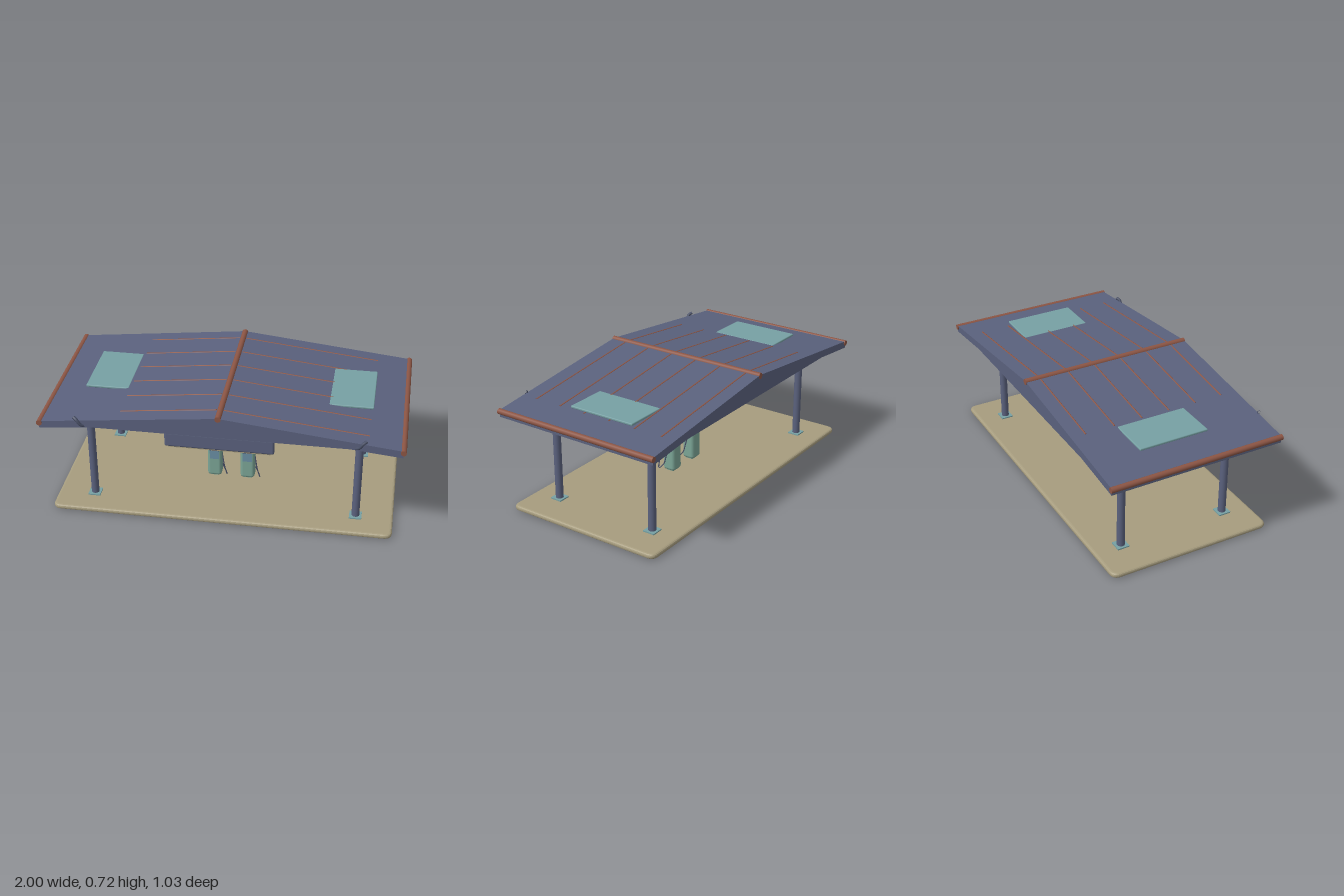
import * as THREE from 'three';
import { RoundedBoxGeometry } from 'three/addons/geometries/RoundedBoxGeometry.js';

const mat = (name, color) => {
  const m = new THREE.MeshStandardMaterial({ color });
  m.name = name;
  return m;
};

export function createModel() {
  const root = new THREE.Group();
  root.name = 'canopyStation';
  const navy = mat('slate navy', 0x5a617d);
  const rust = mat('rust', 0x8c5544);
  const teal = mat('teal', 0x76a0a3);
  const green = mat('sea green', 0x7ba596);
  const tan = mat('sand', 0xa69c7e);
  const blue = mat('screen blue', 0x6a8ea3);
  const dark = mat('dark navy', 0x4a5168);

  const add = (name, geo, material, x = 0, y = 0, z = 0, parent = root) => {
    const m = new THREE.Mesh(geo, material);
    m.name = name;
    m.position.set(x, y, z);
    parent.add(m);
    return m;
  };
  const box = (w, h, d) => new THREE.BoxGeometry(w, h, d);
  const tube = (pts, r, seg = 16) => new THREE.TubeGeometry(
    new THREE.CatmullRomCurve3(pts.map(p => new THREE.Vector3(...p))), seg, r, 8);
  // straight capped rod between two points
  const rod = (name, a, b, r, material) => {
    const p = new THREE.Vector3(...a), q = new THREE.Vector3(...b), d = q.clone().sub(p);
    const m = add(name, new THREE.CylinderGeometry(r, r, d.length(), 16), material);
    m.position.copy(p).add(q).multiplyScalar(0.5);
    m.quaternion.setFromUnitVectors(new THREE.Vector3(0, 1, 0), d.normalize());
    return m;
  };
  // profile in x and y, extruded along z about the middle
  const prism = (pts, depth) => {
    const s = new THREE.Shape(pts.map(p => new THREE.Vector2(...p)));
    return new THREE.ExtrudeGeometry(s, { depth, bevelEnabled: false }).translate(0, 0, -depth / 2);
  };

  // ground slab with rounded corners and edges
  const w = 0.945, d = 0.465, c = 0.03;
  const plan = new THREE.Shape();
  plan.moveTo(-w + c, -d);
  plan.lineTo(w - c, -d);
  plan.quadraticCurveTo(w, -d, w, -d + c);
  plan.lineTo(w, d - c);
  plan.quadraticCurveTo(w, d, w - c, d);
  plan.lineTo(-w + c, d);
  plan.quadraticCurveTo(-w, d, -w, d - c);
  plan.lineTo(-w, -d + c);
  plan.quadraticCurveTo(-w, -d, -w + c, -d);
  const slab = new THREE.ExtrudeGeometry(plan, {
    depth: 0.006, bevelThickness: 0.012, bevelSize: 0.015, bevelSegments: 3, curveSegments: 6 });
  slab.rotateX(-Math.PI / 2).translate(0, 0.012, 0);
  add('groundSlab', slab, tan);

  // columns with foot plates
  for (const x of [-0.75, 0.75]) for (const z of [-0.32, 0.32]) {
    add('column', new THREE.CylinderGeometry(0.022, 0.022, 0.58, 24), navy, x, 0.31, z);
    add('footPlate', box(0.07, 0.008, 0.07), teal, x, 0.033, z);
  }

  // pitched roof and the gable filling below it
  const eave = 0.985;
  const roofY = x => 0.71 - 0.107 * Math.abs(x) / eave;
  add('roof', prism([[-eave, 0.562], [0, 0.66], [eave, 0.562], [eave, roofY(eave)],
    [0, 0.71], [-eave, roofY(eave)]], 1.01), navy);
  add('gable', prism([[-0.74, 0.587], [0.74, 0.587], [0, 0.661]], 1.0), navy);

  // ridge and eave pipes
  rod('ridgePipe', [0, 0.705, -0.507], [0, 0.705, 0.507], 0.017, rust);
  for (const s of [-1, 1]) {
    rod('eavePipe', [s * 0.984, 0.594, -0.51], [s * 0.984, 0.594, 0.51], 0.016, rust);
    // roof seams, mostly sunk into the slope
    for (const z of [-0.42, -0.25, -0.085, 0.08, 0.245, 0.41]) {
      const end = s > 0 ? 0.8 : 0.55;
      rod('roofSeam', [s * 0.02, roofY(0.02) - 0.002, z],
        [s * end, roofY(end) - 0.002, z], 0.005, rust);
    }
    // level roof panels
    add('roofPanel', new RoundedBoxGeometry(0.245, 0.014, 0.405, 2, 0.005), teal,
      s * 0.685, 0.643, -0.04);
    // bent brackets on the front edge
    add('frontBracket', tube([[s * 0.79, 0.642, 0.497], [s * 0.772, 0.632, 0.508],
      [s * 0.752, 0.605, 0.508], [s * 0.732, 0.592, 0.497]], 0.009), dark);
    // ceiling lamps
    for (const [x, z] of [[0.565, 0.33], [0.51, 0.197], [0.69, -0.33]])
      add('ceilingLamp', new THREE.CylinderGeometry(0.027, 0.027, 0.034, 20), tan,
        s * x, 0.572, z);
  }

  // hanging fascia under a cross rail
  rod('crossRail', [-0.75, 0.574, 0.455], [0.75, 0.574, 0.455], 0.013, green);
  add('hangingFascia', new RoundedBoxGeometry(0.6, 0.09, 0.036, 3, 0.012), navy, 0, 0.535, 0.458);
  add('fasciaTrim', box(0.56, 0.007, 0.022), tan, 0, 0.489, 0.458);

  // pumps with screen and hose
  for (const x of [-0.097, 0.097]) {
    const pump = new THREE.Group();
    pump.name = 'pump';
    pump.position.set(x, 0, 0.017);
    root.add(pump);
    add('pumpBody', new RoundedBoxGeometry(0.083, 0.212, 0.077, 2, 0.018), green, 0, 0.141, 0, pump);
    add('pumpBase', box(0.05, 0.012, 0.045), green, 0, 0.034, 0, pump);
    add('pumpScreen', box(0.054, 0.056, 0.008), blue, 0, 0.181, 0.038, pump);
    add('screenTrim', box(0.054, 0.004, 0.009), dark, 0, 0.211, 0.038, pump);
    add('hose', tube([[0.04, 0.175, 0.001], [0.048, 0.13, 0.01], [0.06, 0.08, 0.02],
      [0.076, 0.056, 0.043], [0.07, 0.08, 0.046], [0.05, 0.13, 0.046]], 0.0035, 32), dark, 0, 0, 0, pump);
  }
  return root;
}
